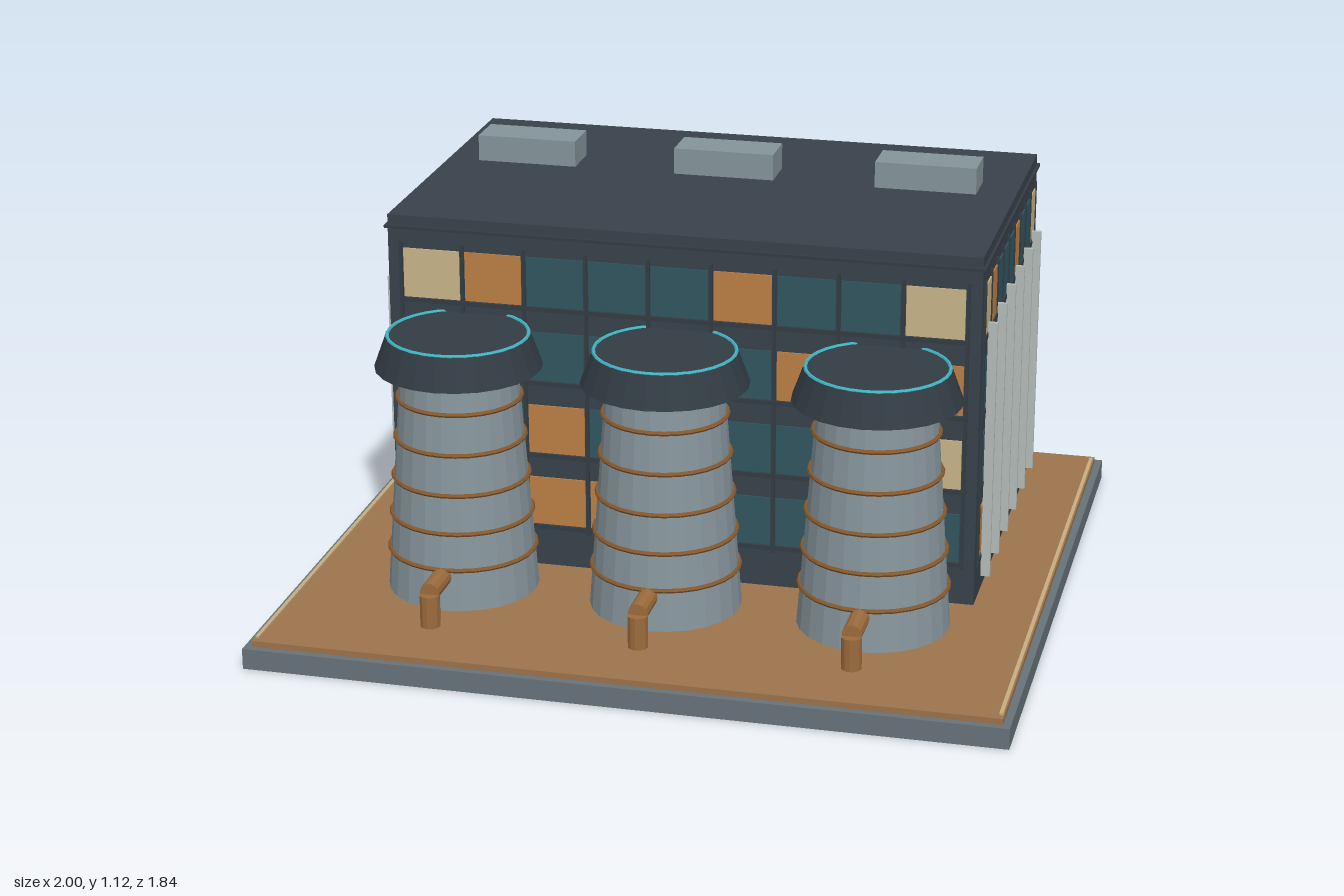
import * as THREE from 'three';

const mat = (color) => new THREE.MeshStandardMaterial({ color, flatShading: true });
const M = {
  base: mat(0x66737a), ground: mat(0x9c744c), strip: mat(0xc8ad80),
  wall: mat(0x38424b), ledge: mat(0x333c44), roofUnit: mat(0x85949a),
  t: mat(0x30565f), o: mat(0xbb8044), c: mat(0xc8b588),
  tower: mat(0x87969d), cap: mat(0x333c44), ring: mat(0x40b4c4),
  band: mat(0x86592e), pipe: mat(0x9c6c3c), riser: mat(0xb4bcba),
};

// Window colours, top floor first: t = teal, o = orange, c = cream
const FLOORS = ['cotttottc', 'ttttttooo', 'ttotttttc', 'otoottthe'.slice(0, 6) + 'tot'];
const FLOOR_Y = [0.883, 0.674, 0.467, 0.26];
const X0 = 0.8, Z_FRONT = 0.24, Z_BACK = -0.725;
const Z_MID = (Z_FRONT + Z_BACK) / 2, DEPTH = Z_FRONT - Z_BACK;

function add(parent, name, geometry, material, x = 0, y = 0, z = 0) {
  const mesh = new THREE.Mesh(geometry, material);
  mesh.name = name;
  mesh.position.set(x, y, z);
  parent.add(mesh);
  return mesh;
}
const box = (parent, name, material, w, h, d, x, y, z) =>
  add(parent, name, new THREE.BoxGeometry(w, h, d), material, x, y, z);

// One wall of windows, built facing +z; flip reverses the column order
function facade(name, width, pitch, paneWidth, flip) {
  const g = new THREE.Group();
  g.name = name;
  FLOORS.forEach((row, r) => {
    for (let i = 0; i < 9; i++) {
      const x = (i - 4) * pitch * (flip ? -1 : 1);
      box(g, 'window', M[row[i]], paneWidth, 0.136, 0.008, x, FLOOR_Y[r], 0);
    }
    box(g, 'floorLedge', M.ledge, width - 0.06, 0.012, 0.014, 0, FLOOR_Y[r] - 0.076, 0);
  });
  for (let i = 0; i <= 9; i++) {
    box(g, 'mullion', M.ledge, 0.009, 0.8, 0.012, (i - 4.5) * pitch, 0.57, 0);
  }
  return g;
}

function coolingTower(x) {
  const g = new THREE.Group();
  g.name = 'coolingTower';
  g.position.set(x, 0, 0.4);
  const radiusAt = (y) => 0.202 - (y - 0.07) * 0.075;
  add(g, 'towerShell', new THREE.CylinderGeometry(radiusAt(0.7), radiusAt(0.07), 0.63, 24), M.tower, 0, 0.385, 0);

  // Hoops around the shell
  for (const y of [0.185, 0.285, 0.39, 0.5, 0.61]) {
    const hoop = add(g, 'hoop', new THREE.TorusGeometry(radiusAt(y) + 0.003, 0.006, 6, 28), M.band, 0, y, 0);
    hoop.rotation.x = Math.PI / 2;
  }

  // Flared cap with a glowing rim
  add(g, 'cap', new THREE.CylinderGeometry(0.19, 0.222, 0.088, 24), M.cap, 0, 0.736, 0);
  const rim = add(g, 'capRim', new THREE.TorusGeometry(0.186, 0.005, 6, 32), M.ring, 0, 0.78, 0);
  rim.rotation.x = Math.PI / 2;

  // Outlet pipe bending down to the ground
  const out = add(g, 'outletPipe', new THREE.CylinderGeometry(0.026, 0.026, 0.15, 12), M.pipe, 0, 0.165, 0.225);
  out.rotation.x = Math.PI / 2;
  add(g, 'outletDrop', new THREE.CylinderGeometry(0.027, 0.027, 0.09, 12), M.pipe, 0, 0.115, 0.298);
  return g;
}

export function createModel() {
  const model = new THREE.Group();
  model.name = 'industrialBuilding';

  // Ground slab
  box(model, 'baseSlab', M.base, 2, 0.056, 1.84, 0, 0.028, 0);
  box(model, 'groundPlate', M.ground, 1.96, 0.016, 1.8, 0, 0.064, 0);
  for (const s of [-1, 1]) box(model, 'edgeStrip', M.strip, 0.01, 0.008, 1.76, s * 0.972, 0.074, 0);

  // Main block and roof
  box(model, 'mainBlock', M.wall, 2 * X0, 0.94, DEPTH, 0, 0.54, Z_MID);
  box(model, 'cornice', M.ledge, 2 * X0 + 0.016, 0.008, DEPTH + 0.016, 0, 1.008, Z_MID);
  box(model, 'roofSlab', M.wall, 2 * X0, 0.03, DEPTH, 0, 1.025, Z_MID);
  for (const x of [-0.56, 0, 0.56]) box(model, 'roofUnit', M.roofUnit, 0.278, 0.072, 0.118, x, 1.088, -0.322);

  // Four window walls
  const front = facade('frontWindows', 2 * X0, 0.17, 0.155, false);
  front.position.z = Z_FRONT;
  const back = facade('backWindows', 2 * X0, 0.17, 0.155, true);
  back.position.z = Z_BACK;
  back.rotation.y = Math.PI;
  model.add(front, back);
  for (const s of [-1, 1]) {
    const side = facade('sideWindows', DEPTH, 0.1, 0.084, s < 0);
    side.position.set(s * X0, 0, Z_MID);
    side.rotation.y = s * Math.PI / 2;
    model.add(side);

    // Vertical risers along each side
    for (let i = 0; i < 6; i++) {
      box(model, 'riser', M.riser, 0.025, 0.715, 0.012, s * 0.818, 0.483, 0.16 - i * 0.16);
    }
  }

  for (const x of [-0.56, 0, 0.56]) model.add(coolingTower(x));
  return model;
}
